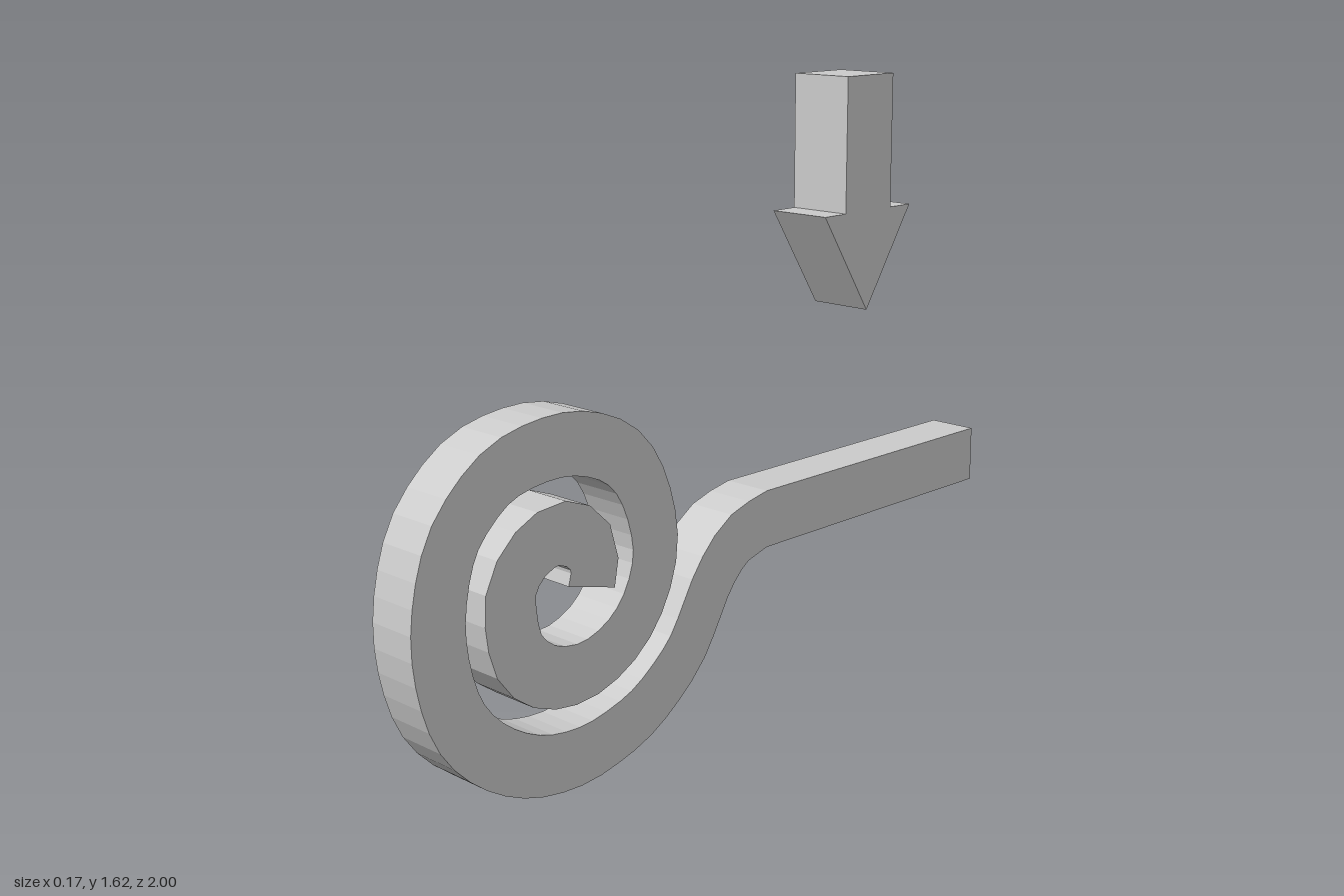
import * as THREE from 'three';

const material = new THREE.MeshStandardMaterial({ color: 0xcccccc, flatShading: true });

// Extrude a side outline of [z, y] points across x, centred on x = 0
function sidePlate(name, outline, width) {
  const shape = new THREE.Shape(outline.map(([z, y]) => new THREE.Vector2(-z, y)));
  const geometry = new THREE.ExtrudeGeometry(shape, { depth: width, bevelEnabled: false });
  geometry.translate(0, 0, -width / 2).rotateY(Math.PI / 2);
  const mesh = new THREE.Mesh(geometry, material);
  mesh.name = name;
  return mesh;
}

// Centre line of the coil, from its inner end out to the start of the arm: [z, y]
const coil = [
  [0.474, 0.487], [0.464, 0.525], [0.47, 0.573], [0.506, 0.616], [0.581, 0.64],
  [0.667, 0.605], [0.715, 0.54], [0.72, 0.471], [0.694, 0.37], [0.619, 0.305],
  [0.517, 0.284], [0.431, 0.303], [0.351, 0.353], [0.292, 0.434], [0.265, 0.546],
  [0.308, 0.702], [0.372, 0.782], [0.469, 0.83], [0.581, 0.846], [0.731, 0.819],
  [0.822, 0.755], [0.886, 0.67], [0.925, 0.487], [0.892, 0.305], [0.838, 0.214],
  [0.742, 0.134], [0.635, 0.088], [0.511, 0.075], [0.41, 0.092], [0.303, 0.131],
  [0.174, 0.23], [0.131, 0.289], [0.056, 0.412], [-0.024, 0.485], [-0.131, 0.516],
];

// Offset the centre line to both sides to get the outline of a band
function bandOutline(points, thickness) {
  const curve = new THREE.CatmullRomCurve3(points.map(([z, y]) => new THREE.Vector3(0, y, z)));
  const sideA = [], sideB = [], steps = 72, h = thickness / 2;
  for (let i = 0; i <= steps; i++) {
    const p = curve.getPointAt(i / steps);
    const t = i === steps ? new THREE.Vector3(0, 0, -1) : curve.getTangentAt(i / steps);
    sideA.push([p.z - t.y * h, p.y + t.z * h]);
    sideB.push([p.z + t.y * h, p.y - t.z * h]);
  }
  // Straight arm running to the back
  const y = points[points.length - 1][1];
  sideA.push([-1, y - h]);
  sideB.push([-1, y + h]);
  return [...sideA, ...sideB.reverse()];
}

export function createModel() {
  const group = new THREE.Group();
  group.name = 'spiralSpringWithArrow';

  group.add(sidePlate('spiralSpring', bandOutline(coil, 0.15), 0.135));

  // Downward arrow floating above the arm
  group.add(sidePlate('downArrow', [
    [-0.40, 1.615], [-0.40, 1.27], [-0.32, 1.27], [-0.49, 1.01],
    [-0.66, 1.27], [-0.58, 1.27], [-0.58, 1.615],
  ], 0.175));

  return group;
}
